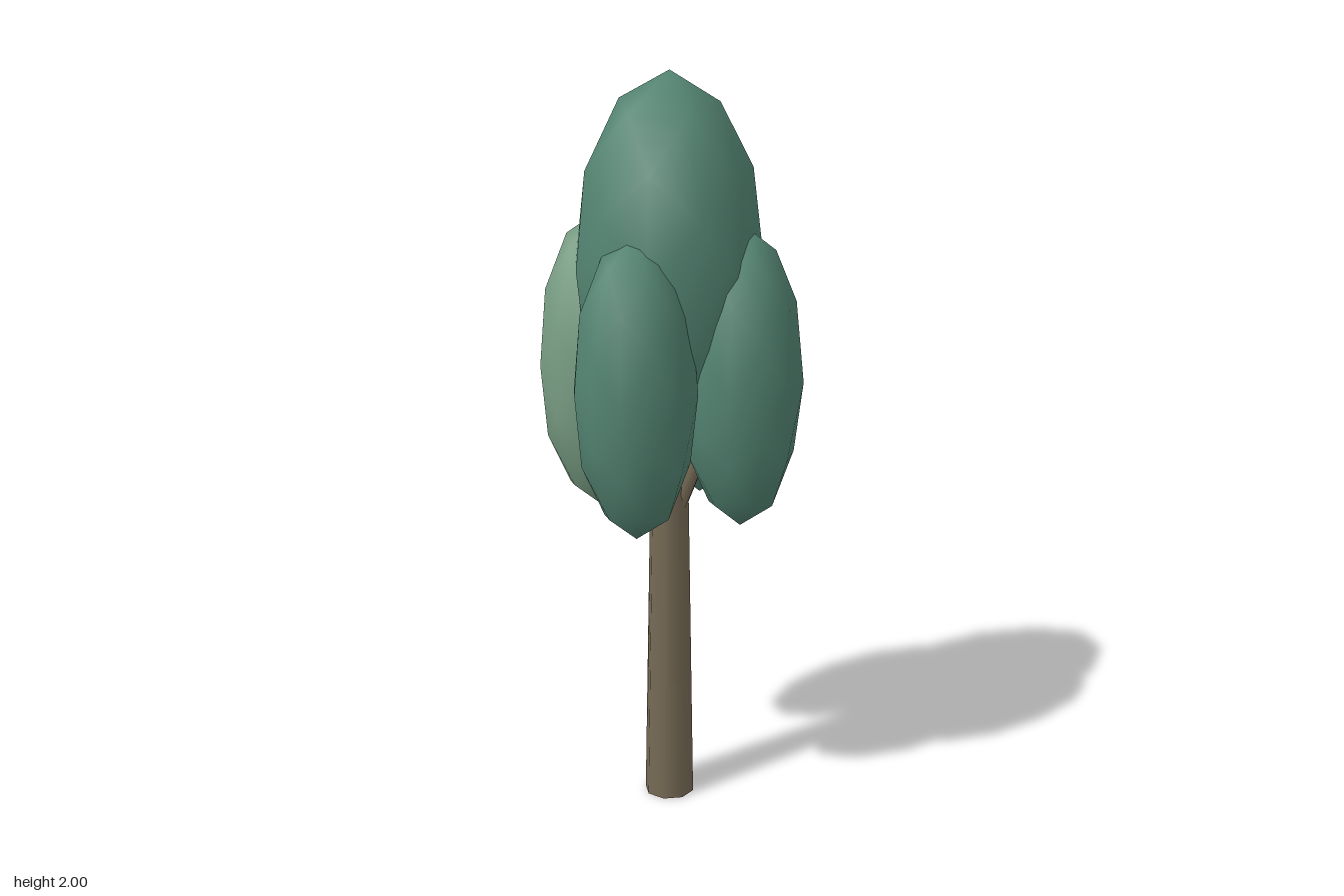
import * as THREE from 'three';

export function createModel() {
  const tree = new THREE.Group();
  tree.name = 'tree';
  const bark = new THREE.MeshStandardMaterial({ color: 0x766a55 });
  const darkLeaf = new THREE.MeshStandardMaterial({ color: 0x548573 });
  const paleLeaf = new THREE.MeshStandardMaterial({ color: 0x7a9f85 });
  bark.name = 'bark';
  darkLeaf.name = 'darkLeaf';
  paleLeaf.name = 'paleLeaf';

  function add(name, geometry, material, x, y, z) {
    const mesh = new THREE.Mesh(geometry, material);
    mesh.name = name;
    mesh.position.set(x, y, z);
    tree.add(mesh);
    return mesh;
  }

  // Low-poly ellipsoid of leaves with smooth normals
  const foliage = (r, h) => new THREE.IcosahedronGeometry(1, 1).scale(r, h, r);

  // Tapered trunk, reaching up into the crown
  add('trunk', new THREE.CylinderGeometry(0.047, 0.068, 1.2, 8), bark, 0, 0.6, 0);

  // Tall central crown
  add('crown', foliage(0.25, 0.5), darkLeaf, 0, 1.5, 0);

  // Four lower lobes, each carried by a short branch
  const lobes = [
    ['front', -0.04, 0.2, darkLeaf],
    ['left', 0.2, 0.036, darkLeaf],
    ['back', 0.038, -0.2, darkLeaf],
    ['right', -0.2, -0.038, paleLeaf],
  ];
  const up = new THREE.Vector3(0, 1, 0);
  for (const [side, x, z, leaf] of lobes) {
    add(side + 'Lobe', foliage(0.162, 0.403), leaf, x, 1.22, z);
    const from = new THREE.Vector3(x * 0.1, 0.84, z * 0.1);
    const to = new THREE.Vector3(x * 0.75, 1.15, z * 0.75);
    const mid = from.clone().lerp(to, 0.5);
    const branch = add(side + 'Branch',
      new THREE.CylinderGeometry(0.017, 0.027, from.distanceTo(to), 6), bark, mid.x, mid.y, mid.z);
    branch.quaternion.setFromUnitVectors(up, to.sub(from).normalize());
  }
  return tree;
}
